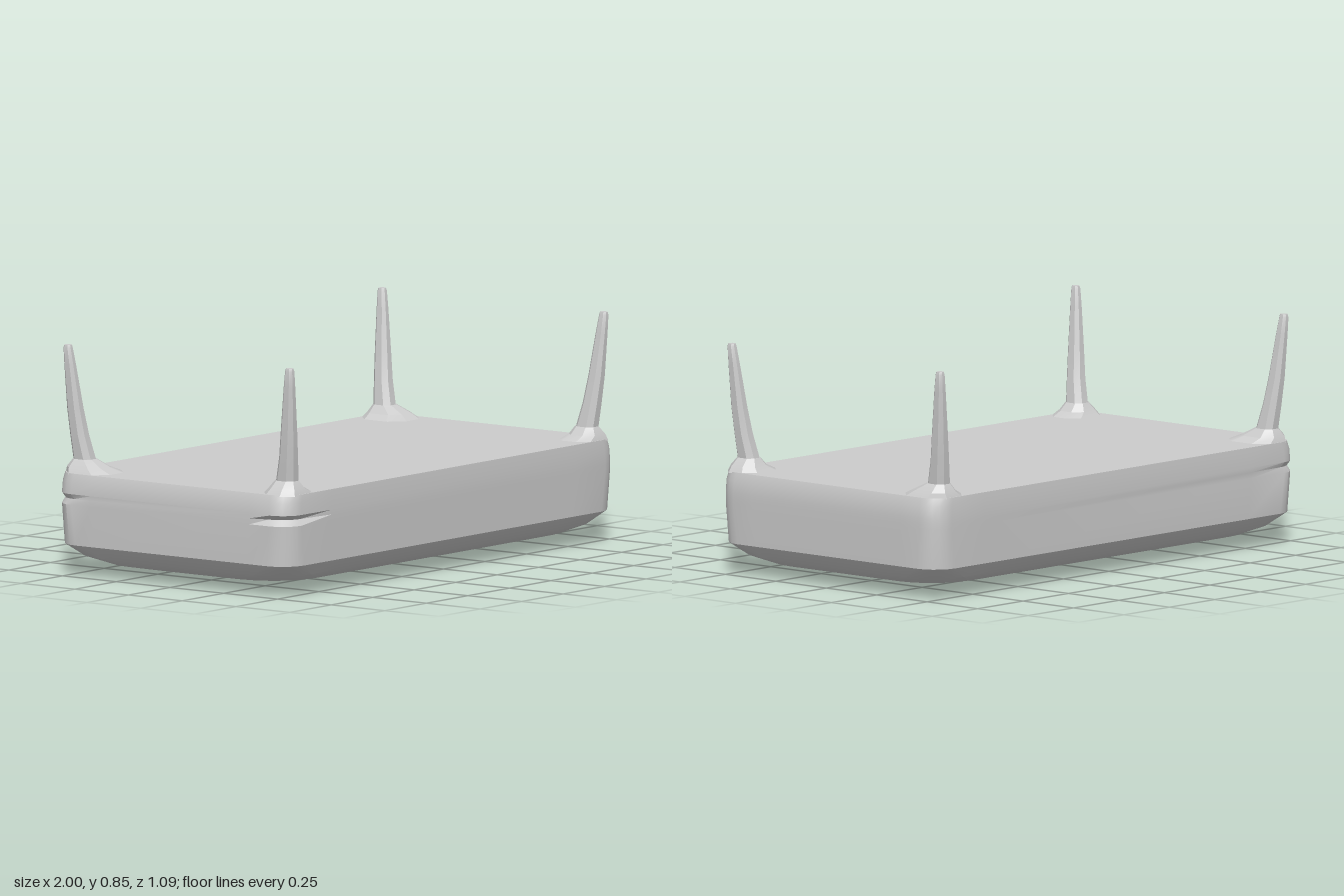
import * as THREE from 'three';
import { toCreasedNormals } from 'three/addons/utils/BufferGeometryUtils.js';

const material = new THREE.MeshStandardMaterial({ color: 0xcccccc });

// Rounded rectangle around (cx, cz) at height y; insets pulls single corners inward
// (corner order: +x-z, -x-z, -x+z, +x+z).
function ring({ y, cx = 0, cz = 0, hx, hz, r, steps = 5, insets = [0, 0, 0, 0] }) {
  const corners = [[1, -1], [-1, -1], [-1, 1], [1, 1]].map(([sx, sz], k) => {
    const arc = [];
    for (let i = 0; i <= steps; i++) {
      const a = (k + i / steps) * Math.PI / 2;
      arc.push(new THREE.Vector3(
        cx + sx * (hx - r) + r * Math.cos(a), y, cz + sz * (hz - r) - r * Math.sin(a)));
    }
    return arc;
  });
  const points = [];
  corners.forEach((arc, k) => {
    const end = arc[steps], next = corners[(k + 1) % 4][0];
    const [sx, sz] = [[1, -1], [-1, -1], [-1, 1], [1, 1]][k];
    for (const p of arc) {
      points.push(p.clone().add(new THREE.Vector3(-sx * insets[k], 0, -sz * insets[k])));
    }
    // extra edge points keep corner details local
    points.push(end.clone().lerp(next, 0.1), end.clone().lerp(next, 0.9));
  });
  return points;
}

// Skin a stack of rings from bottom to top and close both ends.
function loft(rings, crease) {
  const n = rings[0].length;
  const position = rings.flat().flatMap(p => p.toArray());
  const index = [];
  for (let j = 0; j < rings.length - 1; j++) {
    for (let i = 0; i < n; i++) {
      const a = j * n + i, b = j * n + (i + 1) % n;
      index.push(a, b, b + n, a, b + n, a + n);
    }
  }
  [0, rings.length - 1].forEach((j, top) => {
    const centre = rings[j].reduce((s, p) => s.add(p), new THREE.Vector3()).divideScalar(n);
    const c = position.length / 3;
    position.push(...centre.toArray());
    for (let i = 0; i < n; i++) {
      const a = j * n + i, b = j * n + (i + 1) % n;
      if (top) index.push(c, a, b);
      else index.push(c, b, a);
    }
  });
  const geometry = new THREE.BufferGeometry();
  geometry.setAttribute('position', new THREE.Float32BufferAttribute(position, 3));
  geometry.setIndex(index);
  return toCreasedNormals(geometry, crease);
}

// Slab: shallow domed underside, upright walls, flat top, small grooves at two corners
function makeBody() {
  const levels = [ // y, half width, half depth, corner radius, groove depth
    [0.003, 0.25, 0.08, 0.06, 0],
    [0.010, 0.56, 0.25, 0.16, 0],
    [0.026, 0.80, 0.37, 0.20, 0],
    [0.045, 0.90, 0.45, 0.18, 0],
    [0.075, 0.96, 0.51, 0.15, 0],
    [0.120, 0.995, 0.544, 0.10, 0],
    [0.270, 1.0, 0.546, 0.085, 0],
    [0.292, 1.0, 0.546, 0.085, 0.018],
    [0.310, 1.0, 0.546, 0.085, 0],
    [0.355, 0.997, 0.544, 0.085, 0],
    [0.385, 0.987, 0.541, 0.085, 0],
  ];
  const body = new THREE.Mesh(loft(levels.map(([y, hx, hz, r, g]) =>
    ring({ y, hx, hz, r, insets: [0, g * 0.5, g, 0] })), 0.5), material);
  body.name = 'body';
  return body;
}

// Leg section: distances from the centre lines, mirrored to the chosen corner
function legRing([y, x0, x1, z0, z1], sx, sz) {
  const hx = (x1 - x0) / 2, hz = (z1 - z0) / 2;
  return ring({
    y, hx, hz, cx: sx * (x0 + x1) / 2, cz: sz * (z0 + z1) / 2,
    r: Math.min(hx, hz) * 0.55, steps: 1,
  });
}

const addPart = (group, name, sections, sx, sz) => {
  const mesh = new THREE.Mesh(
    loft(sections.map(s => legRing(s, sx, sz)), 0.35), material);
  mesh.name = name;
  group.add(mesh);
};

// One corner: flared foot plate and slender leg leaning outward
function makeLeg(sx, sz) {
  const group = new THREE.Group();
  const back = sz < 0;
  group.name = (back ? 'back' : 'front') + (sx > 0 ? 'Left' : 'Right') + 'Leg';
  addPart(group, 'legFlare', [
    [0.380, 0.79, 0.985, back ? 0.32 : 0.39, 0.538],
    [0.403, 0.84, 0.970, back ? 0.37 : 0.41, 0.530],
    [0.432, 0.867, 0.940, 0.428, 0.512],
  ], sx, sz);
  addPart(group, 'legShaft', [
    [0.425, 0.867, 0.938, 0.430, 0.511],
    [0.520, 0.883, 0.946, 0.453, 0.519],
    [0.620, 0.900, 0.953, 0.468, 0.526],
    [0.780, 0.922, 0.959, 0.489, 0.531],
    [0.845, 0.931, 0.961, 0.499, 0.532],
    [0.856, 0.934, 0.958, 0.502, 0.529],
  ], sx, sz);
  return group;
}

export function createModel() {
  const model = new THREE.Group();
  model.name = 'slabWithFourLegs';
  model.add(makeBody());
  for (const sx of [-1, 1]) for (const sz of [-1, 1]) model.add(makeLeg(sx, sz));
  return model;
}
